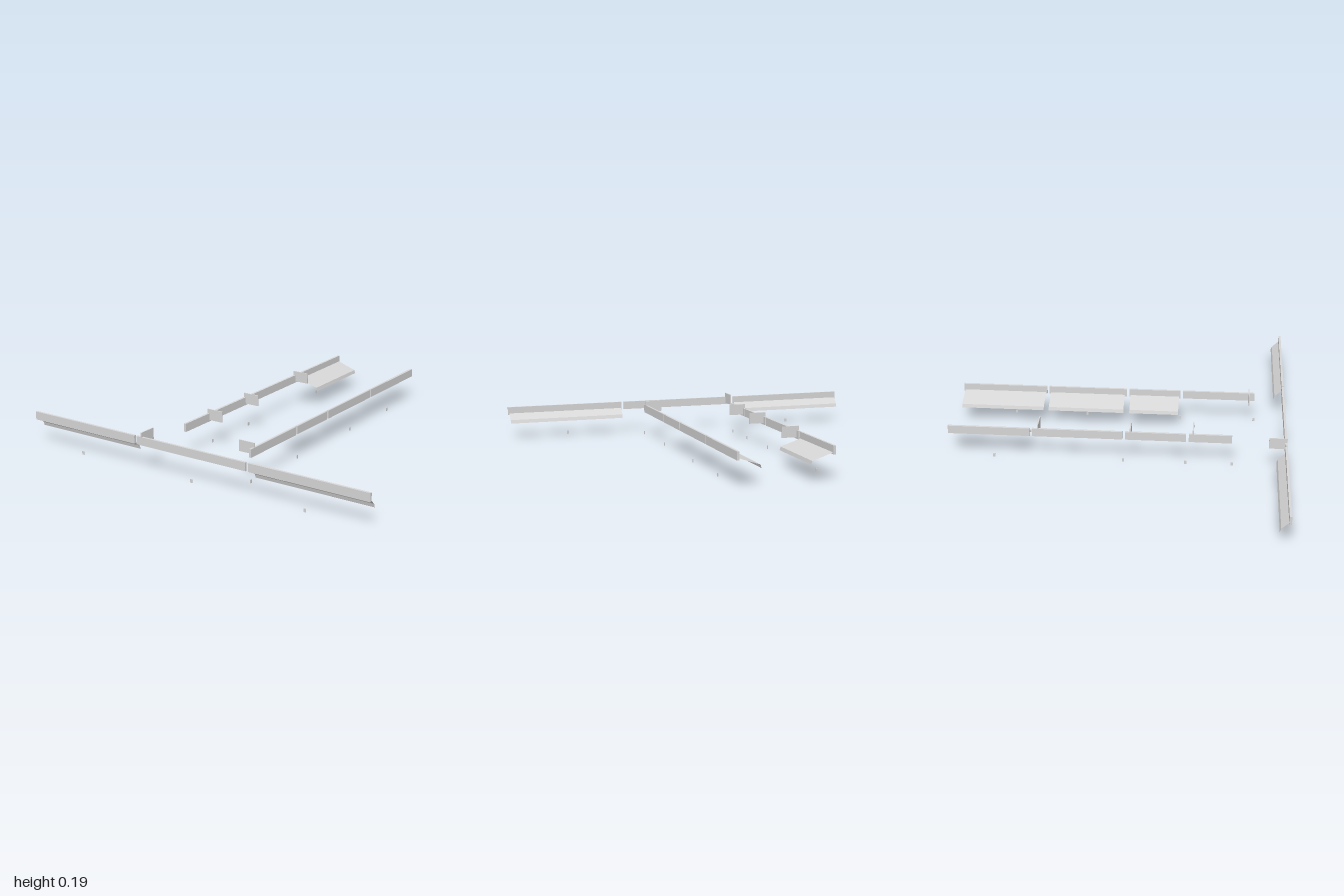
import * as THREE from 'three';

export function createModel() {
  const model = new THREE.Group();
  const grey = new THREE.MeshStandardMaterial({ color: 0xd6d6d6, side: THREE.DoubleSide });
  grey.name = 'light grey';

  // Each row runs along one axis; d is the distance out from its rear plane.
  const rows = [
    {
      name: 'front', axis: 'x', plane: 0.867, out: -1,
      boards: [[-1, -0.342], [-0.328, 0.326], [0.341, 1]],
      awnings: [[-0.995, -0.348], [0.347, 0.993]],
      blades: [-0.298], tags: [-0.685, 0.005, 0.658],
      profile: [[0.01, 0.142], [0.047, 0.107], [0.053, 0.088]],
    },
    {
      name: 'left', axis: 'z', plane: 0.247, out: -1,
      boards: [[-0.87, -0.414], [-0.402, 0.02], [0.033, 0.309], [0.323, 0.708]],
      awnings: [[-0.865, -0.422], [-0.395, 0.008], [0.04, 0.302]],
      blades: [0.677], tags: [-0.588, -0.198, 0.309, 0.709],
    },
    {
      name: 'right', axis: 'z', plane: -0.25, out: 1,
      boards: [[-0.87, -0.448], [-0.434, 0.03], [0.045, 0.356], [0.37, 0.59]],
      awnings: [[-0.865, -0.455]],
      blades: [-0.404, 0.072, 0.392], tags: [-0.635, 0.035, 0.356, 0.593],
    },
  ];
  const sideProfile = [[0.01, 0.142], [0.05, 0.128], [0.118, 0.106], [0.123, 0.088]];

  for (const row of rows) {
    const group = new THREE.Group();
    group.name = row.name + 'Row';
    model.add(group);

    // Row coordinates (along, out, up) to model coordinates
    const place = (u, d, y) => {
      const v = row.plane + row.out * d;
      return row.axis === 'x' ? [u, y, v] : [v, y, u];
    };

    const add = (name, geometry) => {
      const mesh = new THREE.Mesh(geometry, grey);
      mesh.name = name;
      group.add(mesh);
      return mesh;
    };

    const block = (name, u0, u1, d0, d1, y0, y1) => {
      const w = u1 - u0, t = d1 - d0, h = y1 - y0;
      const size = row.axis === 'x' ? [w, h, t] : [t, h, w];
      add(name, new THREE.BoxGeometry(...size))
        .position.set(...place((u0 + u1) / 2, (d0 + d1) / 2, (y0 + y1) / 2));
    };

    // Thin sloping sheet ending in a short valance
    const awning = (u0, u1) => {
      const profile = row.profile || sideProfile;
      const points = [];
      for (let i = 0; i < profile.length - 1; i++) {
        const a = place(u0, ...profile[i]), b = place(u1, ...profile[i]);
        const c = place(u1, ...profile[i + 1]), d = place(u0, ...profile[i + 1]);
        points.push(...a, ...b, ...c, ...a, ...c, ...d);
      }
      const geometry = new THREE.BufferGeometry();
      geometry.setAttribute('position', new THREE.Float32BufferAttribute(points, 3));
      geometry.computeVertexNormals();
      add('awning', geometry);
    };

    // Long sign boards, awnings, projecting signs and small door handles
    row.boards.forEach(([a, b]) => block('signBoard', a, b, 0, 0.012, 0.132, 0.175));
    row.awnings.forEach(([a, b]) => awning(a, b));
    row.blades.forEach((u) => block('projectingSign', u - 0.003, u + 0.003, 0, 0.092, 0.14, 0.198));
    row.tags.forEach((u) => block('doorHandle', u - 0.006, u + 0.006, -0.001, 0.002, 0.004, 0.022));
  }

  // Stand the lowest parts on the ground
  const box = new THREE.Box3().setFromObject(model);
  model.children.forEach((g) => { g.position.y -= box.min.y; });
  return model;
}
